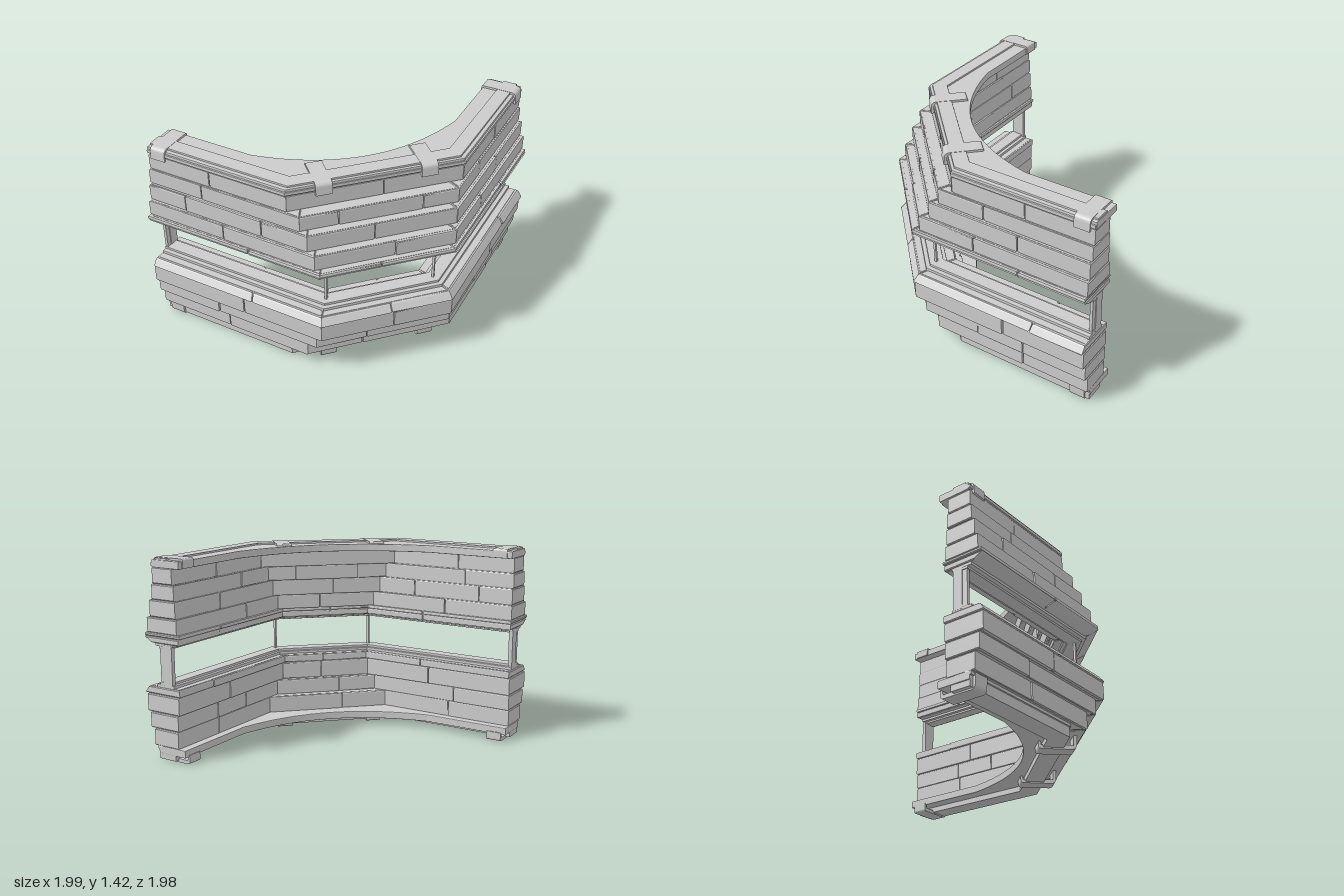
import * as THREE from 'three';
import { ConvexGeometry } from 'three/addons/geometries/ConvexGeometry.js';

const mat = new THREE.MeshStandardMaterial({ color: 0xcccccc, flatShading: true });
const END = 0.985;
let seed = 7;
const rnd = () => (seed = (seed * 16807) % 2147483647) / 2147483647;

function add(parent, name, geo) {
  const m = new THREE.Mesh(geo, mat);
  m.name = name;
  parent.add(m);
  return m;
}

// Three-sided path in plan: long side at z = d, diagonal from (c, d) to (d, c), long side at x = d
const path = ([d, c], end = END) => [[-end, d], [c, d], [d, c], [d, -end]].map(p => new THREE.Vector2(...p));

// Extrude a plan outline (x, z) between two heights
function slab(parent, name, shape, y0, y1, bevel) {
  const geo = new THREE.ExtrudeGeometry(shape, {
    depth: y1 - y0 - 2 * bevel, bevelSize: bevel, bevelOffset: -bevel,
    bevelThickness: bevel, bevelSegments: 2, curveSegments: 20,
  });
  geo.rotateX(Math.PI / 2).translate(0, y1 - bevel, 0);
  return add(parent, name, geo);
}

// Unbroken strip that follows the wall
function band(parent, name, outer, inner, y0, y1, end) {
  const shape = new THREE.Shape([...path(outer, end), ...path(inner, end).reverse()]);
  return slab(parent, name, shape, y0, y1, 0.004);
}

// Chamfered plank from a bottom and a top quad
function plank(parent, name, bottom, top, y0, y1, b) {
  const pts = [];
  const ring = (quad, y, inset) => {
    const mid = quad.reduce((s, p) => s.add(p), new THREE.Vector2()).multiplyScalar(0.25);
    for (const p of quad) {
      const q = p.clone().sub(mid);
      q.setLength(q.length() - inset).add(mid);
      pts.push(new THREE.Vector3(q.x, y, q.y));
    }
  };
  const at = y => bottom.map((p, i) => p.clone().lerp(top[i], (y - y0) / (y1 - y0)));
  ring(at(y0), y0, b);
  if (b > 0) { ring(at(y0 + b), y0 + b, 0); ring(at(y1 - b), y1 - b, 0); }
  ring(at(y1), y1, b);
  add(parent, name, new ConvexGeometry(pts));
}

// One course of planks around all three sides, with joints given as x (sides 0, 1) or z (side 2)
function course(parent, name, { y, out, low = out, inn, cuts }) {
  const g = new THREE.Group();
  g.name = name;
  parent.add(g);
  const O = path(out), L = path(low), I = path(inn), [d, c] = out;
  const toT = [x => (x + END) / (c + END), x => (x - c) / (d - c), z => (c - z) / (c + END)];
  for (let s = 0; s < 3; s++) {
    const quad = (P, t0, t1, a, e) => {
      const pt = (t, w) => P[s].clone().lerp(P[s + 1], t).lerp(I[s].clone().lerp(I[s + 1], t), w);
      return [pt(t0, a), pt(t1, a), pt(t1, e), pt(t0, e)];
    };
    // recessed core behind the joints
    plank(g, 'wallCore', quad(L, 0.01, 0.99, 0.06, 0.94), quad(O, 0.01, 0.99, 0.06, 0.94), y[0], y[1], 0);
    const ts = [0, ...cuts[s].map(toT[s]), 1];
    for (let i = 0; i + 1 < ts.length; i++) {
      const a = (rnd() - 0.6) * 0.035, e = 1 + (rnd() - 0.5) * 0.03;
      const t0 = ts[i] + (i ? 0.003 : s === 0 ? -rnd() * 0.008 : 0);
      const t1 = ts[i + 1] - (i + 2 < ts.length ? 0.003 : s === 2 ? -rnd() * 0.008 : 0);
      plank(g, 'plank', quad(L, t0, t1, a, e), quad(O, t0, t1, a, e), y[0] + 0.002, y[1] - 0.002, 0.006);
    }
  }
}

// Clamp hooked over the slab edge down to height leg; local x points outward
function clamp(parent, leg, x, z, angle) {
  const s = new THREE.Shape();
  s.moveTo(-0.128, 1.355);
  s.lineTo(-0.128, 1.405);
  s.quadraticCurveTo(-0.126, 1.42, -0.11, 1.42);
  s.lineTo(0.1, 1.42);
  s.quadraticCurveTo(0.128, 1.415, 0.13, 1.39);
  s.lineTo(0.135, leg);
  s.lineTo(0.112, leg);
  s.lineTo(0.108, 1.39);
  s.lineTo(-0.11, 1.395);
  s.lineTo(-0.112, 1.355);
  const geo = new THREE.ExtrudeGeometry(s, { depth: 0.11, bevelEnabled: false, curveSegments: 5 });
  geo.translate(0, 0, -0.055);
  const m = add(parent, 'clamp', geo);
  m.position.set(x, 0, z);
  m.rotation.y = angle;
}

// Arc-backed slab with lip, rail and four clamps; shift moves the diagonal clamps outward
function edgePlate(name, { slabY, lipY, railY, rail, leg, shift }) {
  const g = new THREE.Group();
  g.name = name;
  const s = new THREE.Shape(path([0.882, 0.045], 0.995));
  s.lineTo(0.648, -0.995);
  s.lineTo(0.648, -0.35);
  s.quadraticCurveTo(0.47, 0.47, -0.35, 0.648);
  s.lineTo(-0.995, 0.648);
  slab(g, 'arcSlab', s, ...slabY, 0.006);
  band(g, 'edgeLip', [0.893, 0.045], [0.85, 0.03], ...lipY, 0.993);
  band(g, 'rail', ...rail, ...railY, 0.99);
  clamp(g, leg, -0.905, 0.768, -Math.PI / 2);
  clamp(g, leg, 0.768, -0.905, 0);
  clamp(g, leg, 0.14 + shift, 0.635 + shift, -Math.PI / 4);
  clamp(g, leg, 0.635 + shift, 0.14 + shift, -Math.PI / 4);
  return g;
}

export function createModel() {
  const root = new THREE.Group();
  root.name = 'cornerWall';

  // Top plate, and a deeper one turned over as the base
  root.add(edgePlate('topPlate', {
    slabY: [1.352, 1.405], lipY: [1.362, 1.387], railY: [1.39, 1.418],
    rail: [[0.855, 0.045], [0.755, 0]], leg: 1.335, shift: 0,
  }));
  const base = edgePlate('basePlate', {
    slabY: [1.315, 1.37], lipY: [1.312, 1.34], railY: [1.335, 1.41],
    rail: [[0.882, 0.045], [0.74, -0.01]], leg: 1.29, shift: 0.045,
  });
  base.rotateOnAxis(new THREE.Vector3(1, 0, 1).normalize(), Math.PI);
  base.position.y = 1.42;
  root.add(base);

  // Upper wall, from the top down
  const upper = [
    { y: [1.24, 1.355], out: [0.885, 0.05], inn: [0.715, -0.01], cuts: [[-0.52], [0.5], [0.05, -0.5]] },
    { y: [1.13, 1.24], out: [0.902, 0.15], inn: [0.705, 0.06], cuts: [[-0.58], [0.33, 0.73], [-0.2]] },
    { y: [1.01, 1.13], out: [0.925, 0.215], inn: [0.7, 0.11], cuts: [[-0.7, -0.12], [0.53], [-0.47]] },
    { y: [0.9, 1.01], out: [0.95, 0.28], inn: [0.69, 0.16], cuts: [[-0.4], [0.66], [-0.15]] },
    { y: [0.875, 0.902], out: [0.975, 0.33], inn: [0.675, 0.2], cuts: [[-0.2], [0.62], [-0.5]] },
    { y: [0.83, 0.875], out: [0.98, 0.335], low: [0.91, 0.3], inn: [0.685, 0.21], cuts: [[-0.2], [0.62], [-0.5]] },
  ];
  upper.forEach(r => course(root, 'upperCourse', r));

  // Lower wall, from the sill down
  const lower = [
    { y: [0.47, 0.525], out: [0.955, 0.325], low: [0.992, 0.345], inn: [0.68, 0.22], cuts: [[-0.2], [0.66], [-0.6]] },
    { y: [0.34, 0.47], out: [0.978, 0.335], inn: [0.69, 0.21], cuts: [[-0.26], [0.69], [-0.38]] },
    { y: [0.225, 0.34], out: [0.95, 0.28], inn: [0.7, 0.15], cuts: [[-0.49], [0.53], [-0.16, -0.52]] },
    { y: [0.1, 0.225], out: [0.92, 0.195], inn: [0.71, 0.06], cuts: [[-0.43], [0.47], [-0.5]] },
  ];
  lower.forEach(r => course(root, 'lowerCourse', r));

  // Window frame
  band(root, 'lowerFrame', [0.89, 0.305], [0.74, 0.245], 0.515, 0.545, 0.98);
  band(root, 'lowerFrameStep', [0.86, 0.295], [0.765, 0.255], 0.54, 0.562, 0.98);
  band(root, 'upperFrame', [0.89, 0.305], [0.74, 0.245], 0.812, 0.84, 0.98);
  band(root, 'upperFrameStep', [0.86, 0.295], [0.765, 0.255], 0.797, 0.815, 0.98);

  // Posts: broad ones at both ends, slim ones at both corners
  const post = (name, w, d, x, z) => {
    add(root, name, new THREE.BoxGeometry(w, 0.29, d)).position.set(x, 0.68, z);
  };
  for (const swap of [false, true]) {
    const place = (name, w, d, x, z) => (swap ? post(name, d, w, z, x) : post(name, w, d, x, z));
    place('endPost', 0.03, 0.07, -0.966, 0.785);
    place('endPostStrip', 0.02, 0.035, -0.966, 0.838);
    place('cornerPost', 0.016, 0.016, 0.28, 0.81);
  }
  return root;
}
